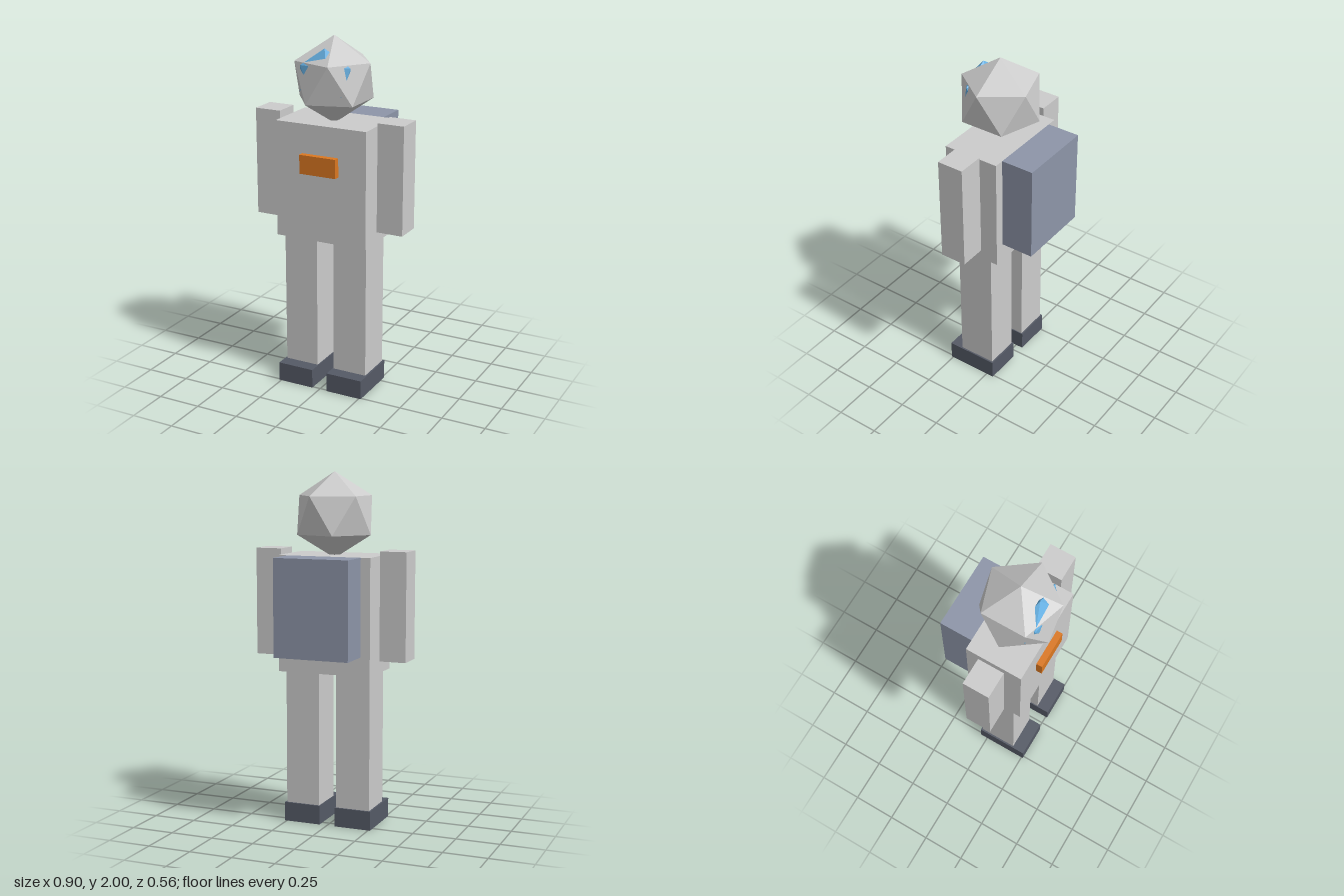
import * as THREE from 'three';
import { ConvexGeometry } from 'three/addons/geometries/ConvexGeometry.js';

const mat = (color) => new THREE.MeshStandardMaterial({ color, flatShading: true });

// Icosahedron standing on one corner, with two staggered rings of five
function icosahedron() {
  const h = 1 / Math.sqrt(5), r = 2 * h;
  const points = [new THREE.Vector3(0, 1, 0), new THREE.Vector3(0, -1, 0)];
  for (let i = 0; i < 10; i++) {
    const a = i * Math.PI / 5;
    points.push(new THREE.Vector3(r * Math.cos(a), i % 2 ? -h : h, r * Math.sin(a)));
  }
  return new ConvexGeometry(points);
}

export function createModel() {
  const group = new THREE.Group();
  const grey = mat(0xcccccc), dark = mat(0x555a66), slate = mat(0x8d95a8);
  const orange = mat(0xdb7821), blue = mat(0x66b0e2);

  const add = (name, geometry, material, x, y, z) => {
    const mesh = new THREE.Mesh(geometry, material);
    mesh.name = name;
    mesh.position.set(x, y, z);
    group.add(mesh);
    return mesh;
  };
  // Box given by its extents along each axis
  const box = (name, material, [x0, x1], [y0, y1], [z0, z1]) =>
    add(name, new THREE.BoxGeometry(x1 - x0, y1 - y0, z1 - z0), material,
      (x0 + x1) / 2, (y0 + y1) / 2, (z0 + z1) / 2);

  // Trunk
  box('torso', grey, [-0.273, 0.273], [0.885, 1.54], [-0.092, 0.235]);
  box('chestPanel', orange, [-0.109, 0.109], [1.27, 1.376], [0.225, 0.27]);
  box('backpack', slate, [-0.218, 0.218], [0.993, 1.54], [-0.28, -0.092]);

  // Limbs, mirrored
  for (const [side, s] of [['left', 1], ['right', -1]]) {
    const span = (a, b) => (s > 0 ? [a, b] : [-b, -a]);
    box(side + 'Arm', grey, span(0.297, 0.449), [0.963, 1.57], [-0.004, 0.148]);
    box(side + 'Leg', grey, span(0.052, 0.252), [0.1, 0.885], [-0.035, 0.184]);
    box(side + 'Boot', dark, span(0.046, 0.262), [0, 0.11], [-0.045, 0.26]);
  }

  // Faceted helmet with a flattened visor poking through its front
  const ico = icosahedron();
  add('helmet', ico, grey, 0, 1.76, 0.071).scale.setScalar(0.24);
  add('visor', ico, blue, 0, 1.78, 0.18).scale.set(0.17, 0.166, 0.086);

  return group;
}
